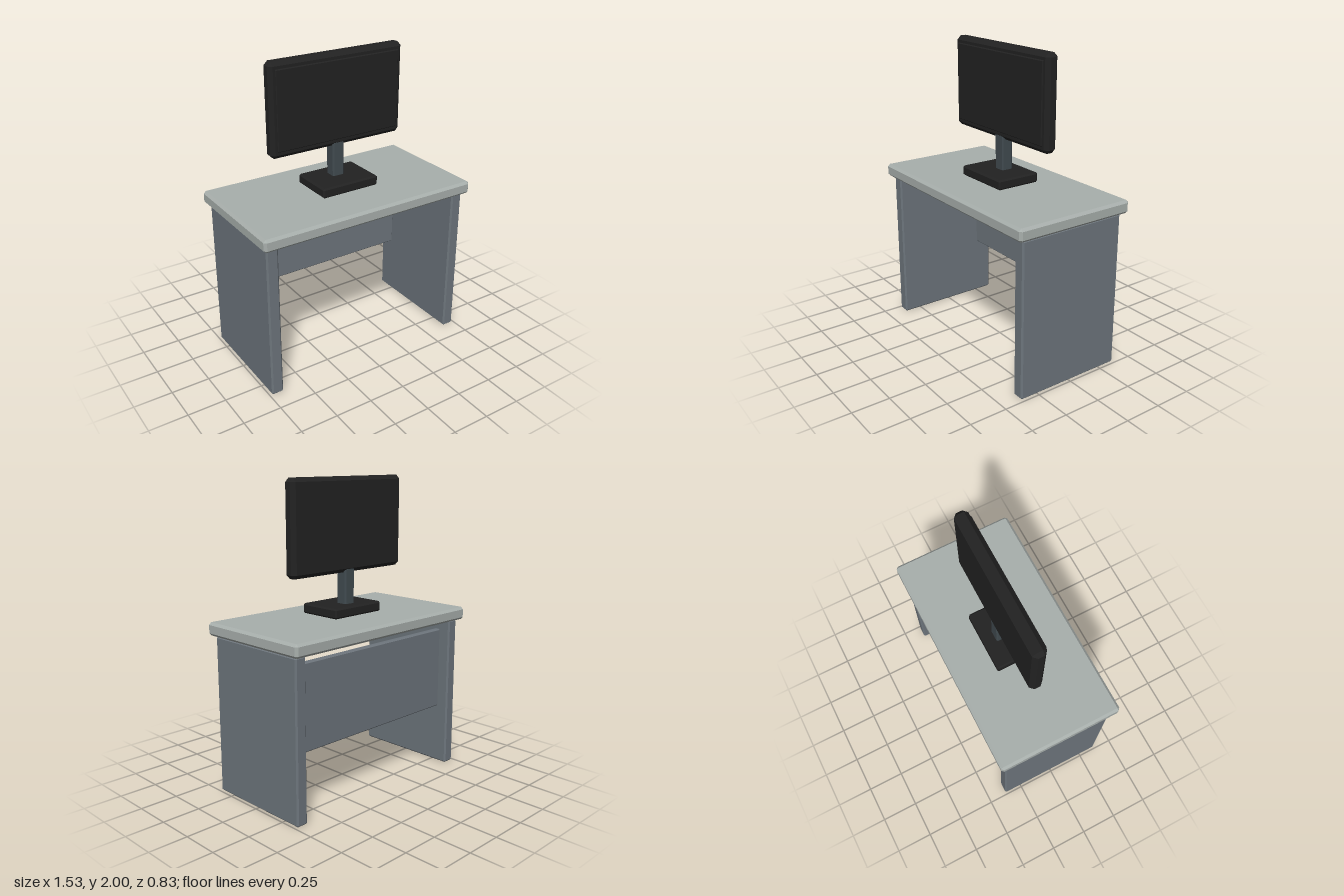
import * as THREE from 'three';
import { ConvexGeometry } from 'three/addons/geometries/ConvexGeometry.js';

function material(name, color) {
  const m = new THREE.MeshStandardMaterial({ color });
  m.name = name;
  return m;
}

// Box with every edge cut at 45 degrees, given by its min and max corners
function chamferBox(name, mat, min, max, c) {
  const half = min.map((v, i) => (max[i] - v) / 2);
  const points = [];
  for (const sx of [-1, 1]) for (const sy of [-1, 1]) for (const sz of [-1, 1]) {
    for (let axis = 0; axis < 3; axis++) {
      const p = [sx, sy, sz].map((s, i) => s * (half[i] - (i === axis ? 0 : c)));
      points.push(new THREE.Vector3(...p));
    }
  }
  const mesh = new THREE.Mesh(new ConvexGeometry(points), mat);
  mesh.position.set(...min.map((v, i) => v + half[i]));
  mesh.name = name;
  return mesh;
}

export function createModel() {
  const topGrey = material('light grey', 0xa8afac);
  const panelGrey = material('slate grey', 0x6d757c);
  const standGrey = material('dark slate', 0x414b50);
  const black = material('black', 0x222222);

  // Desk: top, two side panels and a recessed back panel
  const desk = new THREE.Group();
  desk.name = 'desk';
  desk.add(chamferBox('deskTop', topGrey, [-0.765, 1.033, -0.415], [0.765, 1.118, 0.415], 0.016));
  for (const side of [-1, 1]) {
    const x = side * 0.695;
    desk.add(chamferBox(side > 0 ? 'leftSidePanel' : 'rightSidePanel', panelGrey,
      [x - 0.04, 0, -0.373], [x + 0.04, 1.03, 0.373], 0.01));
  }
  desk.add(chamferBox('backPanel', panelGrey, [-0.66, 0.408, -0.295], [0.66, 0.962, -0.257], 0.008));

  // Monitor: foot, neck, casing and raised screen
  const monitor = new THREE.Group();
  monitor.name = 'monitor';
  monitor.add(
    chamferBox('foot', black, [-0.205, 1.133, -0.152], [0.205, 1.198, 0.152], 0.01),
    chamferBox('neck', standGrey, [-0.041, 1.19, -0.073], [0.041, 1.43, 0.008], 0.008),
    chamferBox('casing', black, [-0.48, 1.402, -0.077], [0.48, 2, 0.012], 0.025),
    chamferBox('screen', black, [-0.442, 1.448, 0.004], [0.442, 1.957, 0.021], 0.005)
  );

  const model = new THREE.Group();
  model.name = 'deskWithMonitor';
  model.add(desk, monitor);
  return model;
}
